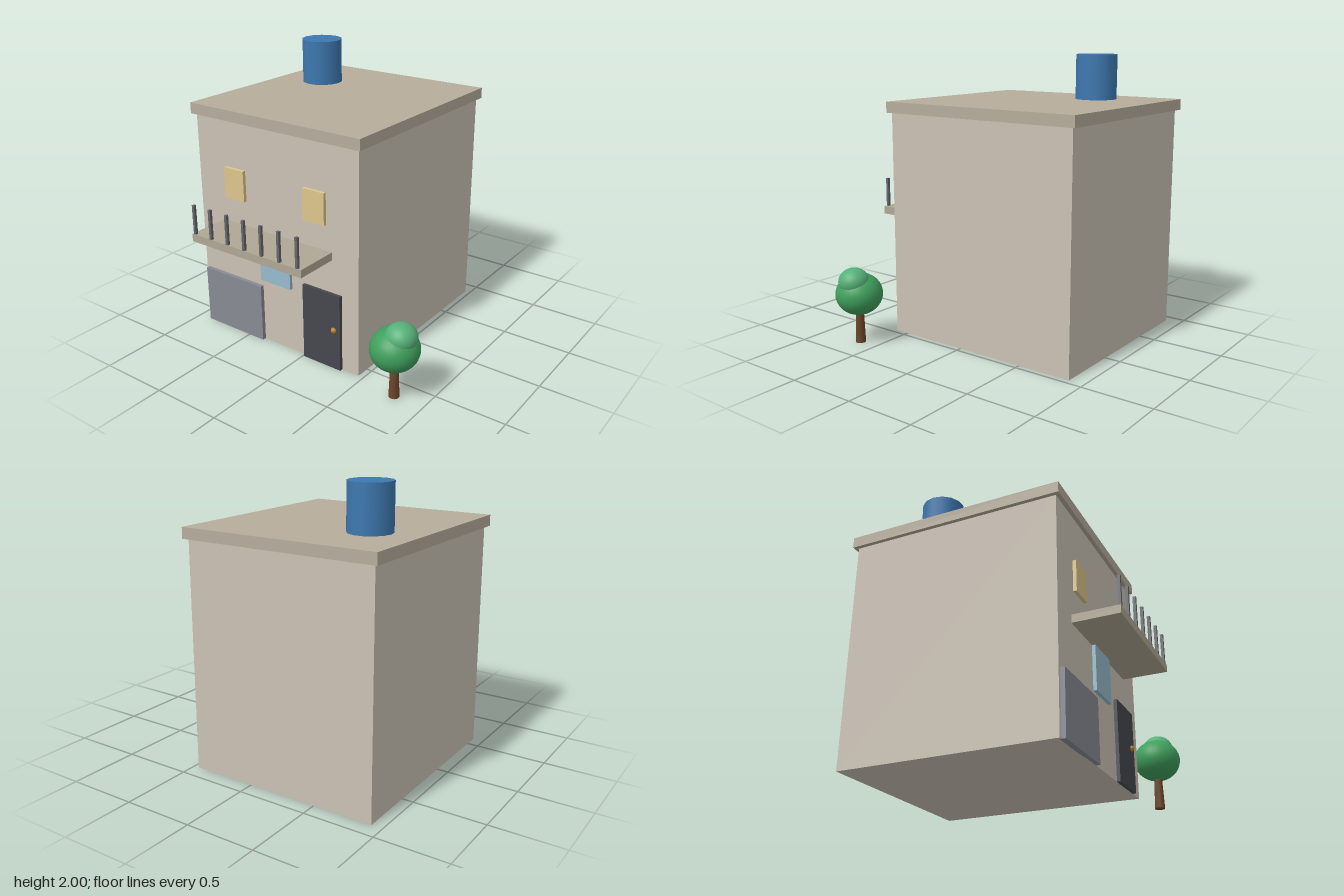
import * as THREE from 'three';

const colored = (color) => new THREE.MeshStandardMaterial({ color });

const wallMat = colored(0xcbc2b5);
const roofMat = colored(0xb6ad9c);
const slabMat = colored(0xb0a794);
const tankMat = colored(0x3d78b0);
const yellowMat = colored(0xdec68c);
const blueMat = colored(0x96bccd);
const garageMat = colored(0x888b94);
const doorMat = colored(0x47484d);
const railMat = colored(0x66666c);
const knobMat = colored(0xb8862c);
const trunkMat = colored(0x6b4528);
const leafMat = colored(0x3f9f5c);
const leafLightMat = colored(0x55b078);

export function createModel() {
  const model = new THREE.Group();
  model.name = 'house';

  const add = (name, geometry, material, parent = model) => {
    const mesh = new THREE.Mesh(geometry, material);
    mesh.name = name;
    parent.add(mesh);
    return mesh;
  };

  // Box given by its min and max on each axis
  const box = (name, material, [x0, x1], [y0, y1], [z0, z1], parent) => {
    const mesh = add(name, new THREE.BoxGeometry(x1 - x0, y1 - y0, z1 - z0), material, parent);
    mesh.position.set((x0 + x1) / 2, (y0 + y1) / 2, (z0 + z1) / 2);
    return mesh;
  };

  // Building and flat roof
  box('walls', wallMat, [-0.922, 0.461], [0, 1.603], [-0.889, 0.6]);
  box('roof', roofMat, [-0.95, 0.488], [1.603, 1.68], [-0.918, 0.628]);

  // Water tank on the roof
  const tank = add('waterTank', new THREE.CylinderGeometry(0.149, 0.149, 0.32, 14), tankMat);
  tank.position.set(-0.605, 1.84, -0.415);
  tank.rotation.y = Math.PI / 2;

  // Panels on the facade
  const facade = [0.59, 0.624];
  box('upperWindowRight', yellowMat, [-0.667, -0.491], [1.042, 1.266], facade);
  box('upperWindowLeft', yellowMat, [0.026, 0.202], [1.042, 1.266], facade);
  box('lowerWindow', blueMat, [-0.366, -0.1], [0.486, 0.82], facade);
  box('garageDoor', garageMat, [-0.9, -0.368], [0, 0.43], [0.59, 0.629]);
  box('frontDoor', doorMat, [0.01, 0.325], [0, 0.563], facade);
  add('doorKnob', new THREE.SphereGeometry(0.021, 16, 12), knobMat).position.set(0.273, 0.297, 0.623);

  // Balcony slab with a row of posts
  const balcony = new THREE.Group();
  balcony.name = 'balcony';
  model.add(balcony);
  box('balconySlab', slabMat, [-0.71, 0.246], [0.801, 0.857], [0.59, 0.918], balcony);
  for (let i = 0; i < 7; i++) {
    const x = -0.686 + i * 0.1492;
    box('railingPost', railMat, [x - 0.01, x + 0.01], [0.857, 1.07], [0.897, 0.917], balcony);
  }

  // Tree beside the door
  const tree = new THREE.Group();
  tree.name = 'tree';
  tree.position.set(0.78, 0, 0.652);
  model.add(tree);
  add('trunk', new THREE.CylinderGeometry(0.027, 0.037, 0.27, 10), trunkMat, tree).position.y = 0.135;
  const crown = add('crown', new THREE.SphereGeometry(0.166, 28, 20), leafMat, tree);
  crown.position.y = 0.355;
  crown.scale.y = 0.89;
  const topCrown = add('crownTop', new THREE.SphereGeometry(0.108, 24, 16), leafLightMat, tree);
  topCrown.position.set(0.046, 0.455, 0);
  topCrown.scale.y = 0.89;

  return model;
}
